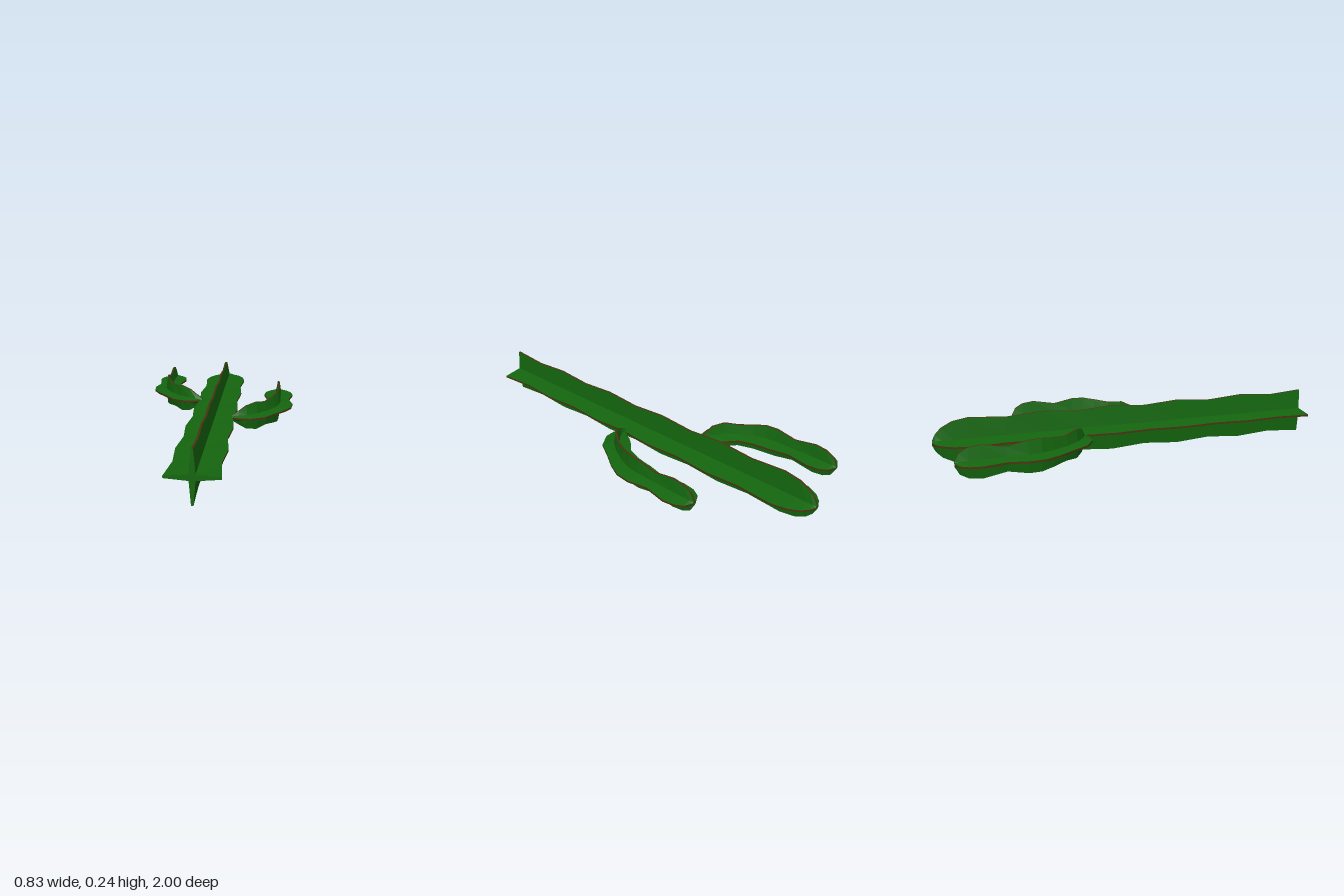
import * as THREE from 'three';

const CENTRE_Y = 0.12;
const green = new THREE.MeshStandardMaterial({ color: 0x14660f, flatShading: true });
const brown = new THREE.MeshStandardMaterial({ color: 0x4d3212, flatShading: true });

// Four-finned star: each fin has a narrow ridge (two points) followed by a valley
function starSection(r) {
  const valley = Math.min(0.014, r * 0.7);
  const ridge = Math.min(0.005, r * 0.4);
  const points = [];
  for (let k = 0; k < 4; k++) {
    for (const [x, y] of [[r, -ridge], [r, ridge], [valley, valley]]) {
      points.push(new THREE.Vector2(x, y).rotateAround(new THREE.Vector2(), k * Math.PI / 2));
    }
  }
  return points;
}

function meshFrom(triangles, material, name) {
  const geometry = new THREE.BufferGeometry().setFromPoints(triangles);
  geometry.computeVertexNormals();
  const mesh = new THREE.Mesh(geometry, material);
  mesh.name = name;
  return mesh;
}

// Sweeps the star along stations [x, z, radius] lying in one horizontal plane
function finnedStem(name, stations) {
  const centres = stations.map(([x, z]) => new THREE.Vector3(x, CENTRE_Y, z));
  const last = stations.length - 1;
  const up = new THREE.Vector3(0, 1, 0);
  const rings = stations.map(([, , r], i) => {
    const along = centres[Math.min(i + 1, last)].clone().sub(centres[Math.max(i - 1, 0)]).normalize();
    const side = up.clone().cross(along);
    return starSection(r).map(p => centres[i].clone().addScaledVector(side, p.x).addScaledVector(up, p.y));
  });

  const flesh = [], ridges = [];
  const n = rings[0].length;
  for (let j = 0; j < n; j++) {
    const k = (j + 1) % n;
    const target = j % 3 === 0 ? ridges : flesh;
    for (let i = 0; i < last; i++) {
      const a = rings[i][j], b = rings[i][k], c = rings[i + 1][k], d = rings[i + 1][j];
      target.push(a, b, c, a, c, d);
    }
    // End caps
    flesh.push(centres[0], rings[0][k], rings[0][j]);
    flesh.push(centres[last], rings[last][j], rings[last][k]);
  }
  const group = new THREE.Group();
  group.name = name;
  group.add(meshFrom(flesh, green, name + 'Fins'), meshFrom(ridges, brown, name + 'Ridges'));
  return group;
}

export function createModel() {
  const model = new THREE.Group();
  model.name = 'cactus';

  // Trunk: alternating bulges and waists, then a rounded tip
  const trunk = [];
  for (let i = 0; i <= 10; i++) trunk.push([-0.003, 1 - i * 0.182, i % 2 ? 0.104 : 0.118]);
  trunk.push([-0.003, -0.9, 0.104], [-0.003, -0.955, 0.075], [-0.003, -0.985, 0.043], [-0.003, -1, 0.012]);
  model.add(finnedStem('trunk', trunk));

  // Arms: the same curved stem on both sides, the right one higher up
  const arm = [
    [0.095, 0.08, 0.014], [0.13, 0.077, 0.036], [0.165, 0.063, 0.06], [0.215, 0.025, 0.072],
    [0.262, -0.035, 0.062], [0.3, -0.105, 0.072], [0.322, -0.165, 0.081], [0.329, -0.225, 0.08],
    [0.33, -0.325, 0.06], [0.332, -0.44, 0.081], [0.332, -0.5, 0.073], [0.332, -0.54, 0.05],
    [0.332, -0.56, 0.012],
  ];
  model.add(finnedStem('leftArm', arm));
  model.add(finnedStem('rightArm', arm.map(([x, z, r]) => [-x, z - 0.36, r])));

  return model;
}
